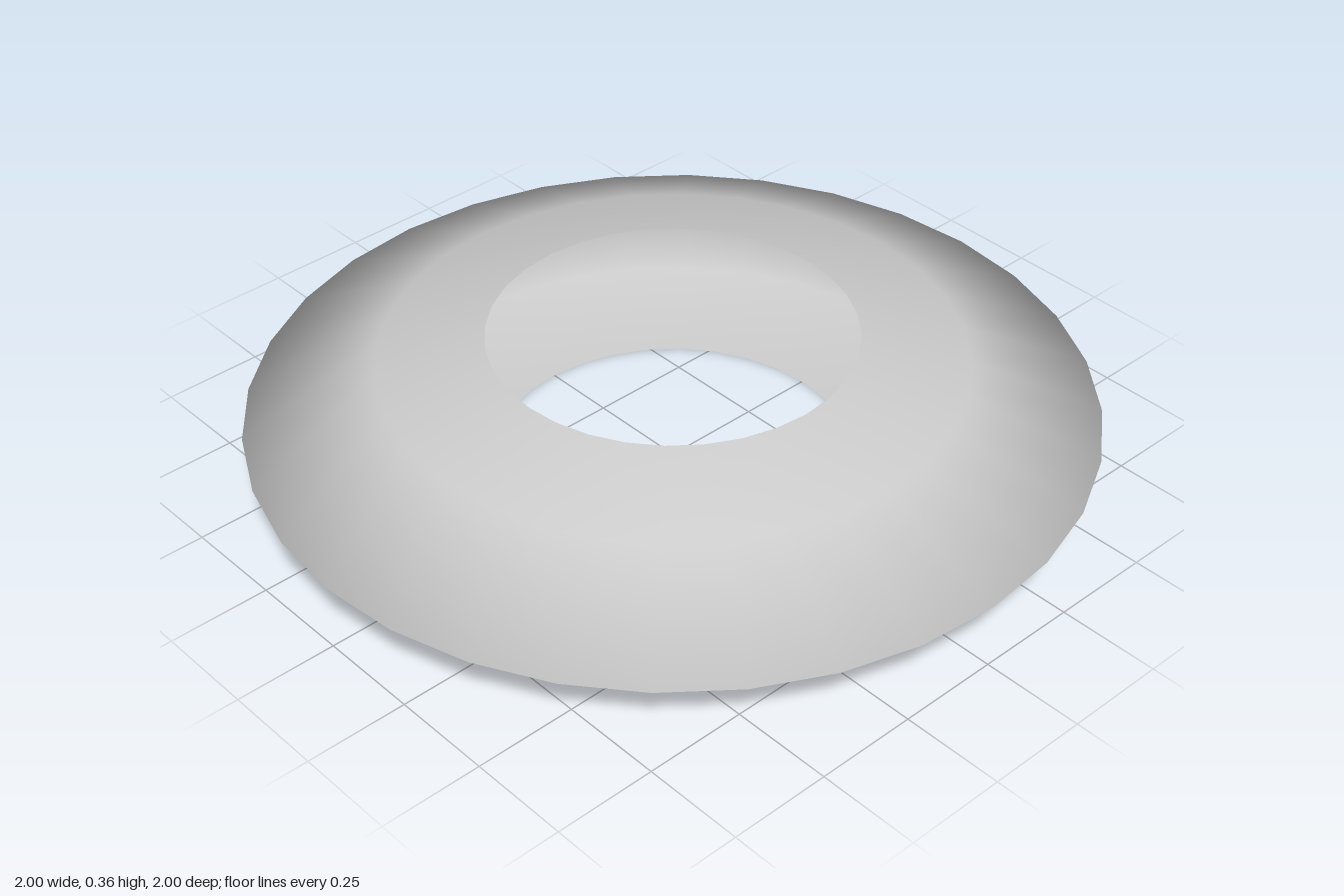
import * as THREE from 'three';

export function createModel() {
  const group = new THREE.Group();
  group.name = 'ringDisc';

  // Thin hollow shell: lower opening, out to the sharp rim, back to the upper opening
  const profile = [
    [0.433, 0.003],
    [0.75, 0.037],
    [1.0, 0.165],
    [0.69, 0.3],
    [0.433, 0.362],
  ].map(([r, y]) => new THREE.Vector2(r, y));

  const material = new THREE.MeshStandardMaterial({ color: 0xcccccc, side: THREE.DoubleSide });
  const shell = new THREE.Mesh(new THREE.LatheGeometry(profile, 32), material);
  shell.name = 'shell';
  group.add(shell);

  return group;
}
